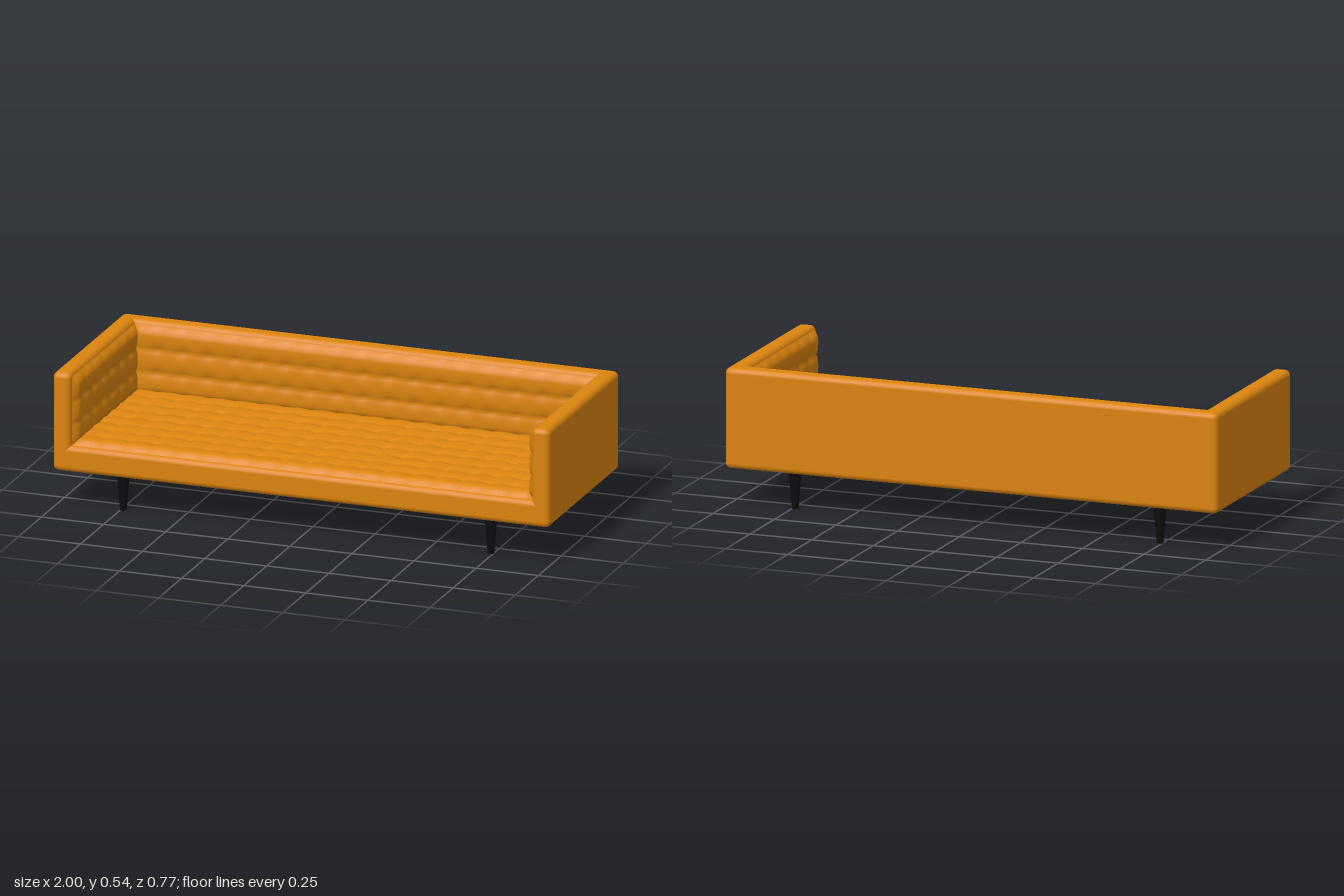
import * as THREE from 'three';
import { RoundedBoxGeometry } from 'three/addons/geometries/RoundedBoxGeometry.js';

const upholstery = new THREE.MeshStandardMaterial({ color: 0xdb840f });
upholstery.name = 'orange upholstery';
const blackWood = new THREE.MeshStandardMaterial({ color: 0x0d0d0d });
blackWood.name = 'black wood';

function add(parent, name, geometry, material, x, y, z) {
  const mesh = new THREE.Mesh(geometry, material);
  mesh.name = name;
  mesh.position.set(x, y, z);
  parent.add(mesh);
  return mesh;
}

// Rounded block given by its two opposite corners
function block(parent, name, min, max) {
  const [w, h, d] = max.map((v, i) => v - min[i]);
  const [x, y, z] = max.map((v, i) => (v + min[i]) / 2);
  return add(parent, name, new RoundedBoxGeometry(w, h, d, 2, 0.022), upholstery, x, y, z);
}

// Padded panel facing +z: soft cells between rows of stitched dimples
function tuftedPanel(width, height, columns, rows) {
  const geometry = new THREE.PlaneGeometry(width, height, columns * 6, rows * 8);
  const pos = geometry.attributes.position;
  for (let i = 0; i < pos.count; i++) {
    const u = pos.getX(i) / width + 0.5;
    const v = pos.getY(i) / height + 0.5;
    const su = Math.abs(Math.sin(Math.PI * u * columns));
    const sv = Math.abs(Math.sin(Math.PI * v * rows));
    const rim = Math.min(u * width, (1 - u) * width, v * height, (1 - v) * height);
    const fade = Math.sin((Math.min(rim / 0.025, 1) * Math.PI) / 2);
    const pit = (1 - su) * (1 - sv);
    pos.setZ(i, fade * (0.015 + 0.006 * Math.sqrt(sv) + 0.002 * su - 0.007 * pit));
  }
  geometry.computeVertexNormals();
  return geometry;
}

export function createModel() {
  const sofa = new THREE.Group();
  sofa.name = 'sofa';

  // Frame blocks share their outer faces
  block(sofa, 'base', [-1, 0.148, -0.385], [1, 0.252, 0.385]);
  block(sofa, 'backrest', [-1, 0.148, -0.385], [1, 0.54, -0.313]);

  // Tufted seat and back
  const seat = add(sofa, 'seatPadding', tuftedPanel(1.86, 0.68, 18, 8), upholstery, 0, 0.252, 0.027);
  seat.rotation.x = -Math.PI / 2;
  add(sofa, 'backPadding', tuftedPanel(1.86, 0.274, 18, 3), upholstery, 0, 0.387, -0.313);

  // Arms with padding on their inner sides
  const armPanel = tuftedPanel(0.68, 0.274, 7, 3);
  for (const side of [-1, 1]) {
    const name = side > 0 ? 'left' : 'right';
    block(sofa, name + 'Arm', [side > 0 ? 0.927 : -1, 0.148, -0.385], [side > 0 ? 1 : -0.927, 0.54, 0.385]);
    const padding = add(sofa, name + 'ArmPadding', armPanel, upholstery, side * 0.927, 0.387, 0.027);
    padding.rotation.y = (-side * Math.PI) / 2;
  }

  // Tapered legs
  const leg = new THREE.CylinderGeometry(0.025, 0.0125, 0.152, 16);
  for (const x of [-0.74, 0.74]) {
    for (const z of [-0.312, 0.312]) {
      add(sofa, (z > 0 ? 'front' : 'back') + (x > 0 ? 'Left' : 'Right') + 'Leg', leg, blackWood, x, 0.076, z);
    }
  }
  return sofa;
}
